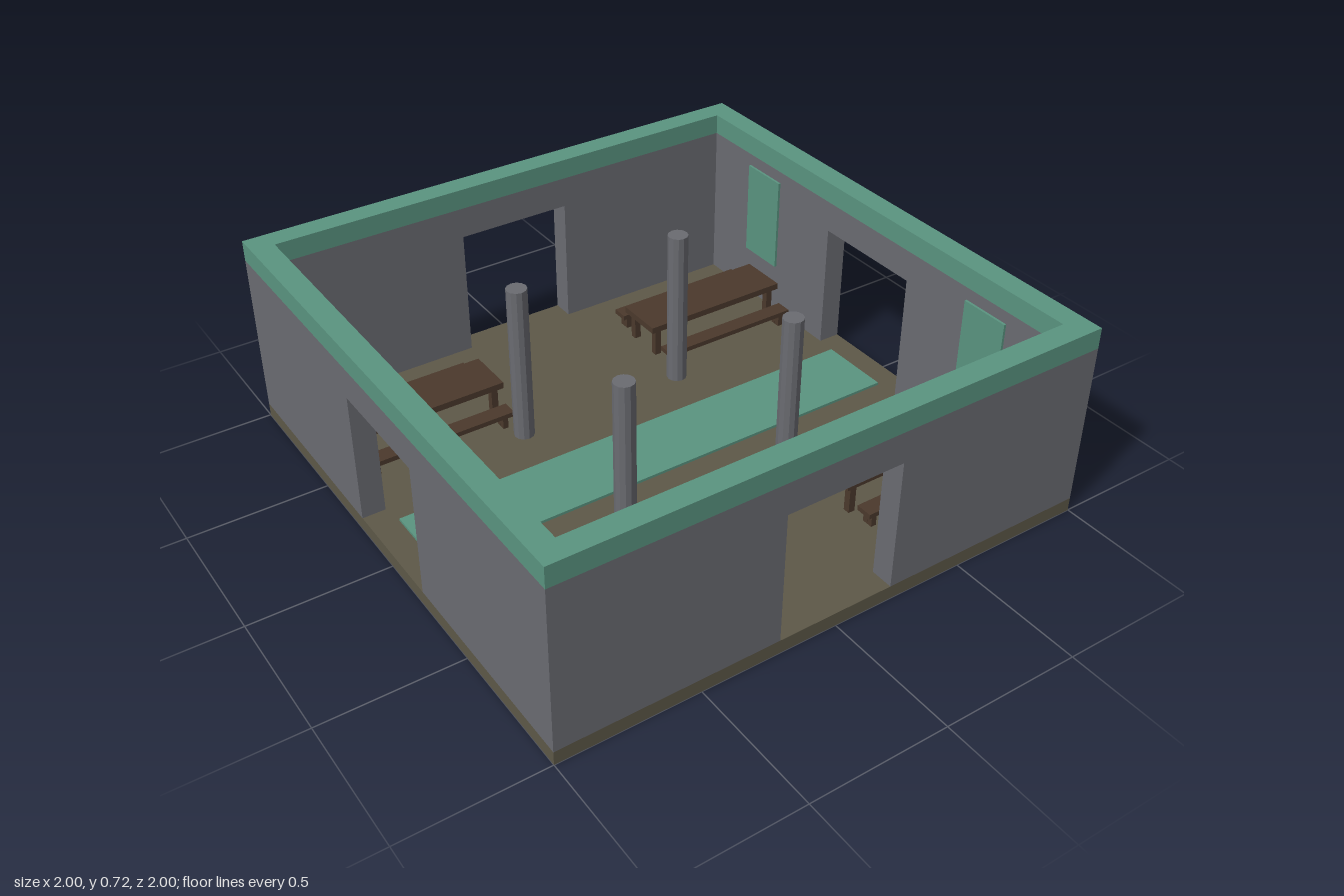
import * as THREE from 'three';

const mat = (name, color) => {
  const m = new THREE.MeshStandardMaterial({ color });
  m.name = name;
  return m;
};

export function createModel() {
  const stone = mat('grey stone', 0x6a6b71);
  const green = mat('muted green', 0x5a9480);
  const earth = mat('earthen floor', 0x5d5848);
  const wood = mat('dark wood', 0x4b392c);

  const hall = new THREE.Group();
  hall.name = 'hall';
  const floorY = 0.05, wallTop = 0.645, top = 0.72, inner = 0.917, door = 0.215, doorTop = 0.53;

  const add = (parent, name, geometry, material) => {
    const mesh = new THREE.Mesh(geometry, material);
    mesh.name = name;
    parent.add(mesh);
    return mesh;
  };
  // Box given by its bounds
  const box = (parent, name, material, x0, x1, y0, y1, z0, z1) => {
    const b = add(parent, name, new THREE.BoxGeometry(x1 - x0, y1 - y0, z1 - z0), material);
    b.position.set((x0 + x1) / 2, (y0 + y1) / 2, (z0 + z1) / 2);
    return b;
  };

  box(hall, 'floor', earth, -1, 1, 0, floorY, -1, 1);
  box(hall, 'carpet', green, -0.905, 0.905, floorY, 0.06, -0.135, 0.135);

  // Four walls, each an outline with a doorway and mitred corners
  const wallShape = new THREE.Shape([
    [-1, floorY], [-door, floorY], [-door, doorTop], [door, doorTop],
    [door, floorY], [1, floorY], [1, wallTop], [-1, wallTop],
  ].map(([x, y]) => new THREE.Vector2(x, y)));
  const wallGeo = new THREE.ExtrudeGeometry(wallShape, { depth: 1 - inner, bevelEnabled: false });
  wallGeo.translate(0, 0, inner);
  const p = wallGeo.attributes.position;
  for (let i = 0; i < p.count; i++) {
    if (Math.abs(p.getX(i)) > 0.9) p.setX(i, Math.sign(p.getX(i)) * p.getZ(i));
  }
  wallGeo.computeVertexNormals();
  ['frontWall', 'leftWall', 'backWall', 'rightWall'].forEach((name, i) => {
    add(hall, name, wallGeo, stone).rotation.y = i * Math.PI / 2;
  });

  // Square coping ring on top of the walls
  const square = (r) => [[-r, -r], [r, -r], [r, r], [-r, r]].map(([x, y]) => new THREE.Vector2(x, y));
  const ring = new THREE.Shape(square(1));
  ring.holes.push(new THREE.Path(square(inner)));
  const coping = add(hall, 'coping',
    new THREE.ExtrudeGeometry(ring, { depth: top - wallTop, bevelEnabled: false }), green);
  coping.rotation.x = -Math.PI / 2;
  coping.position.y = wallTop;

  // Table or bench: a plank on four legs
  const plankOnLegs = (name, x0, x1, z0, z1, height, thick, leg, inset) => {
    const g = new THREE.Group();
    g.name = name;
    box(g, name + 'Top', wood, x0, x1, height - thick, height, z0, z1);
    for (const x of [x0 + inset, x1 - inset - leg]) {
      for (const z of [z0 + inset / 2, z1 - inset / 2 - leg]) {
        box(g, name + 'Leg', wood, x, x + leg, floorY, height - thick, z, z + leg);
      }
    }
    hall.add(g);
  };

  const columnGeo = new THREE.CylinderGeometry(0.037, 0.037, wallTop - floorY, 12).toNonIndexed();
  columnGeo.computeVertexNormals();

  // Furnishings repeated in each quarter of the room
  for (const sx of [-1, 1]) {
    for (const sz of [-1, 1]) {
      const span = (s, a, b) => (s > 0 ? [a, b] : [-b, -a]);
      plankOnLegs('table', ...span(sx, 0.318, 0.905), ...span(sz, 0.476, 0.66), 0.18, 0.024, 0.025, 0.02);
      plankOnLegs('innerBench', ...span(sx, 0.333, 0.887), ...span(sz, 0.38, 0.441), 0.115, 0.018, 0.02, 0.02);
      plankOnLegs('outerBench', ...span(sx, 0.333, 0.887), ...span(sz, 0.695, 0.756), 0.115, 0.018, 0.02, 0.02);
      box(hall, 'banner', green, ...span(sx, 0.908, inner), 0.24, 0.6, ...span(sz, 0.505, 0.69));
      add(hall, 'column', columnGeo, stone)
        .position.set(sx * 0.325, (floorY + wallTop) / 2, sz * 0.327);
    }
  }
  return hall;
}
